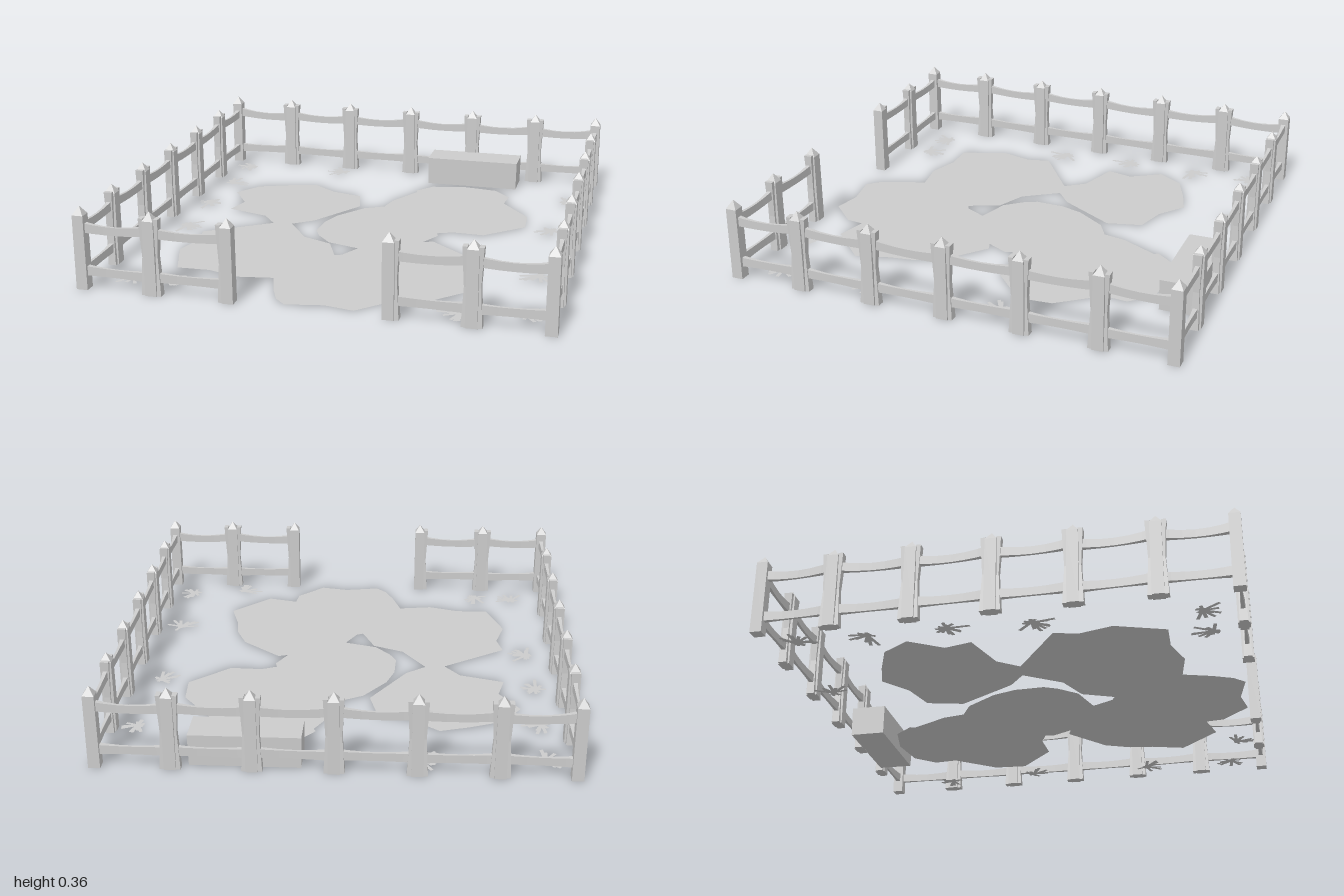
import * as THREE from 'three';

const wood = new THREE.MeshStandardMaterial({ color: 0xcccccc, flatShading: true });
const flat = new THREE.MeshStandardMaterial({ color: 0xcccccc, side: THREE.DoubleSide });

function add(parent, name, geometry, material, x = 0, y = 0, z = 0) {
  const mesh = new THREE.Mesh(geometry, material);
  mesh.name = name;
  mesh.position.set(x, y, z);
  parent.add(mesh);
  return mesh;
}

// Applies a rule to every vertex
function bend(geometry, rule) {
  const p = geometry.attributes.position;
  const v = new THREE.Vector3();
  for (let i = 0; i < p.count; i++) {
    rule(v.fromBufferAttribute(p, i));
    p.setXYZ(i, v.x, v.y, v.z);
  }
  geometry.computeVertexNormals();
  return geometry;
}

// Seeded numbers from 0 to 1
let seed = 7;
const rnd = () => (seed = (seed * 16807) % 2147483647) / 2147483647;

// Square post with a pointed top
const postGeo = new THREE.LatheGeometry(
  [[0, 0], [0.035, 0], [0.034, 0.325], [0, 0.362]].map(([r, y]) => new THREE.Vector2(r, y)), 4
).rotateY(Math.PI / 4);

// Upright slat fixed beside a post, narrow at the waist
const slatGeo = bend(new THREE.BoxGeometry(0.022, 0.334, 0.036, 1, 4, 1).translate(0.011, 0.167, 0), (v) => {
  const w = Math.abs(v.y / 0.167 - 1);
  v.x *= 0.5 + 0.4 * w;
  v.z *= 0.7 + 0.3 * w;
});

// Hand-hewn rail: thin in the middle, thicker at the ends
function railGeo(length, sag, tilt) {
  return bend(new THREE.BoxGeometry(length, 0.038, 0.013, 6, 1, 1), (v) => {
    const t = (2 * v.x) / length;
    v.y = v.y * (0.92 + 0.2 * t * t) + sag * t * t + tilt * t;
    v.z *= 0.8 + 1.2 * t * t;
  });
}

// A run of fence along local x, through the given post positions
function fenceRun(name, stops) {
  const run = new THREE.Group();
  run.name = name;
  stops.forEach((x, i) => {
    if (i === stops.length - 1) return;
    const length = stops[i + 1] - x;
    const mid = x + length / 2;
    add(run, 'upperRail', railGeo(length, 0.014, (rnd() - 0.5) * 0.012), wood, mid, 0.261, 0);
    add(run, 'lowerRail', railGeo(length, 0.004, (rnd() - 0.5) * 0.008), wood, mid, 0.075, 0);
    if (Math.abs(x) < 0.9) add(run, 'postSlat', slatGeo, wood, x + 0.023, 0, 0);
    if (Math.abs(stops[i + 1]) < 0.9) {
      add(run, 'postSlat', slatGeo, wood, stops[i + 1] - 0.023, 0, 0).rotation.y = Math.PI;
    }
  });
  // Corner posts are added once, separately
  for (const x of stops) if (Math.abs(x) < 0.9) add(run, 'post', postGeo, wood, x, 0, 0);
  return run;
}

const E = 0.975;
const stops = [-E, -0.667, -0.335, 0, 0.333, 0.665, E];

// Outlines of the bare ground, as x, z pairs
const patches = {
  leftPatch: [[-.43, -.62], [-.31, -.53], [-.16, -.49], [-.12, -.33], [-.2, -.2], [-.28, -.07], [-.37, 0],
    [-.46, .01], [-.53, -.08], [-.73, -.14], [-.7, -.26], [-.79, -.4], [-.71, -.52], [-.56, -.58]],
  backPatch: [[0, -.36], [.02, -.46], [.11, -.63], [.1, -.65], [.17, -.735], [.33, -.77], [.5, -.745],
    [.58, -.655], [.57, -.55], [.71, -.37], [.72, -.22], [.545, -.06], [.4, -.065], [.33, -.035], [.34, 0],
    [.29, .095], [.02, .25], [-.13, .205], [-.2, .125], [-.23, .065], [-.225, -.065], [-.19, -.17], [-.09, -.31]],
  frontPatch: [[-.46, .01], [-.37, 0], [-.26, .16], [-.12, .22], [-.06, .36], [-.03, .345], [.02, .25],
    [.29, .095], [.335, .08], [.515, .23], [.565, .345], [.58, .455], [.625, .605], [.45, .78], [.31, .745],
    [.3, .825], [.18, .945], [.05, .92], [-.11, .95], [-.16, .9], [-.2, .81], [-.24, .685], [-.395, .71],
    [-.54, .665], [-.685, .67], [-.76, .455], [-.72, .31], [-.745, .205]],
};

// Straw centres, as x, z pairs
const strawSpots = [[-.86, -.85], [-.35, -.87], [-.87, -.54], [-.87, -.21], [-.85, .14], [-.82, .82],
  [-.63, .85], [.87, -.64], [.85, -.2], [.86, .39], [.6, .87], [.86, .83]];

export function createModel() {
  const model = new THREE.Group();
  model.name = 'paddock';

  // Fence on four sides, with a gateway in the middle of the front
  const back = fenceRun('backFence', stops);
  back.position.z = -E;
  const frontLeft = fenceRun('frontFenceLeft', stops.slice(4));
  const frontRight = fenceRun('frontFenceRight', stops.slice(0, 3));
  frontLeft.position.z = frontRight.position.z = E;
  model.add(back, frontLeft, frontRight);
  for (const side of [-1, 1]) {
    const run = fenceRun(side > 0 ? 'leftFence' : 'rightFence', stops);
    run.rotation.y = -Math.PI / 2;
    run.position.x = side * E;
    model.add(run);
    for (const z of [-E, E]) add(model, 'cornerPost', postGeo, wood, side * E, 0, z);
  }

  // Feeding trough against the back fence, slightly narrower at its foot
  const trough = bend(new THREE.BoxGeometry(0.464, 0.138, 0.162), (v) => {
    if (v.y < 0) { v.x *= 0.99; v.z *= 0.98; }
  });
  add(model, 'trough', trough, wood, 0.365, 0.07, -0.876);

  // Bare ground
  for (const [name, outline] of Object.entries(patches)) {
    const shape = new THREE.Shape(outline.map(([x, z]) => new THREE.Vector2(x, -z)));
    add(model, name, new THREE.ShapeGeometry(shape).rotateX(-Math.PI / 2), flat, 0, 0.002, 0);
  }

  // Scattered straw: each tuft is a loose fan of flat strips
  for (const [x, z] of strawSpots) {
    const tuft = new THREE.Group();
    tuft.name = 'strawTuft';
    tuft.position.set(x, 0.003, z);
    const heading = rnd() * Math.PI * 2;
    for (let i = 0; i < 8; i++) {
      const length = 0.07 + rnd() * 0.05;
      const strip = new THREE.PlaneGeometry(length, 0.015).rotateX(-Math.PI / 2);
      const angle = heading + (i - 3.5) * 0.36 + (rnd() - 0.5) * 0.5;
      const r = 0.005 + rnd() * 0.04;
      const straw = add(tuft, 'straw', strip, flat, Math.cos(angle) * r, i * 0.0004, -Math.sin(angle) * r);
      straw.rotation.y = angle;
    }
    model.add(tuft);
  }
  return model;
}
